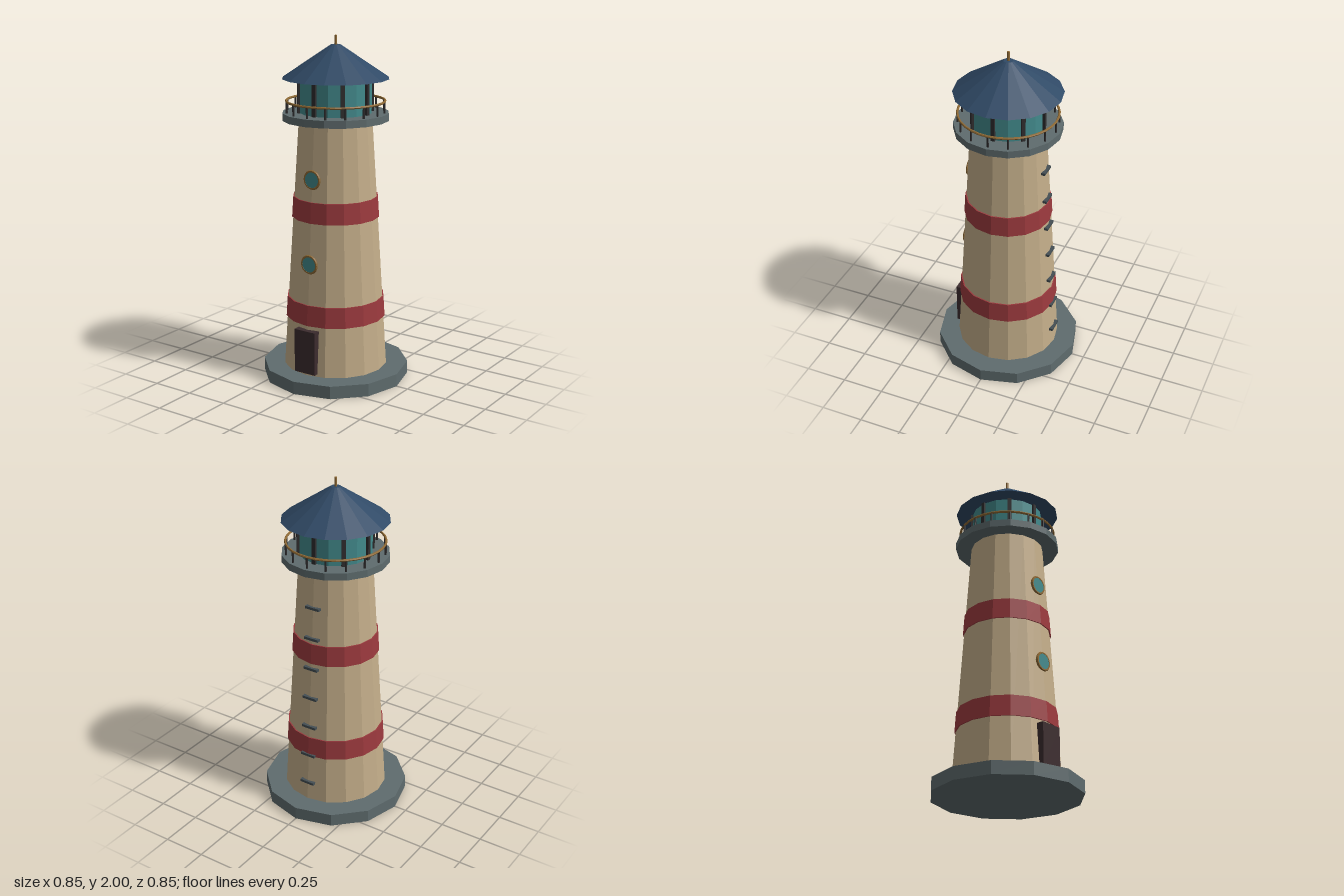
import * as THREE from 'three';

const mat = (name, color, flatShading = true) => {
  const m = new THREE.MeshStandardMaterial({ color, flatShading });
  m.name = name;
  return m;
};

export function createModel() {
  const root = new THREE.Group();
  root.name = 'lighthouse';

  const plaster = mat('sand plaster', 0xc4ae8a);
  const red = mat('red paint', 0x9c3a3e);
  const stone = mat('grey stone', 0x5f6c6e);
  const navy = mat('navy roof', 0x304a66);
  const glass = mat('teal glass', 0x428a8c);
  const brass = mat('brass', 0x8f6a35);
  const iron = mat('dark iron', 0x2f2d2e);
  const wood = mat('dark wood', 0x3c2c2e);
  const steel = mat('rung steel', 0x454f54);

  const add = (name, geo, material, x = 0, y = 0, z = 0, parent = root) => {
    const m = new THREE.Mesh(geo, material);
    m.name = name;
    m.position.set(x, y, z);
    parent.add(m);
    return m;
  };
  // Drum standing between two heights
  const drum = (name, rBottom, rTop, y0, y1, sides, material, open = false) =>
    add(name, new THREE.CylinderGeometry(rTop, rBottom, y1 - y0, sides, 1, open), material, 0, (y0 + y1) / 2, 0);

  // Radius of the tapering tower at a height
  const Y0 = 0.07, Y1 = 1.53;
  const radiusAt = y => THREE.MathUtils.mapLinear(y, Y0, Y1, 0.305, 0.212);

  // Plinth, tower and painted bands
  drum('plinth', 0.427, 0.427, 0, 0.075, 12, stone);
  drum('tower', radiusAt(Y0), radiusAt(Y1), Y0, Y1, 16, plaster);
  for (const y of [0.37, 0.967]) {
    drum('redBand', radiusAt(y) + 0.007, radiusAt(y + 0.12) + 0.007, y, y + 0.12, 16, red);
  }

  // Door
  add('door', new THREE.BoxGeometry(0.14, 0.257, 0.045), wood, 0, 0.218, 0.2945);

  // Round windows with brass rims
  for (const y of [0.73, 1.215]) {
    const w = new THREE.Group();
    w.name = 'window';
    w.position.set(0, y, radiusAt(y));
    root.add(w);
    const pane = add('windowPane', new THREE.CylinderGeometry(0.049, 0.049, 0.022, 20), glass, 0, 0, -0.003, w);
    pane.rotation.x = Math.PI / 2;
    add('windowRim', new THREE.TorusGeometry(0.049, 0.008, 6, 20), brass, 0, 0, 0.002, w);
  }

  // Climbing rungs up the back
  for (let i = 0; i < 7; i++) {
    const y = 0.19 + i * 0.186;
    add('rung', new THREE.BoxGeometry(0.092, 0.015, 0.026), steel, 0, y, -radiusAt(y));
  }

  // Gallery deck and railing
  drum('galleryDeck', 0.305, 0.305, 1.525, 1.567, 16, stone);
  for (let i = 0; i < 16; i++) {
    const a = i * Math.PI / 8;
    add('railPost', new THREE.CylinderGeometry(0.006, 0.006, 0.068, 6), iron,
      0.28 * Math.sin(a), 1.598, 0.28 * Math.cos(a));
  }
  const rail = add('handRail', new THREE.TorusGeometry(0.28, 0.007, 6, 32), brass, 0, 1.632, 0);
  rail.rotation.x = Math.PI / 2;

  // Lantern room
  drum('lanternGlass', 0.207, 0.207, 1.56, 1.765, 16, glass);
  for (let i = 0; i < 8; i++) {
    const a = i * Math.PI / 4;
    const bar = add('lanternBar', new THREE.BoxGeometry(0.022, 0.2, 0.022), iron,
      0.208 * Math.sin(a), 1.662, 0.208 * Math.cos(a));
    bar.rotation.y = a;
  }

  // Roof and finial
  drum('roof', 0.305, 0.027, 1.76, 1.948, 16, navy);
  drum('finial', 0.008, 0.008, 1.94, 2, 8, brass);

  return root;
}
